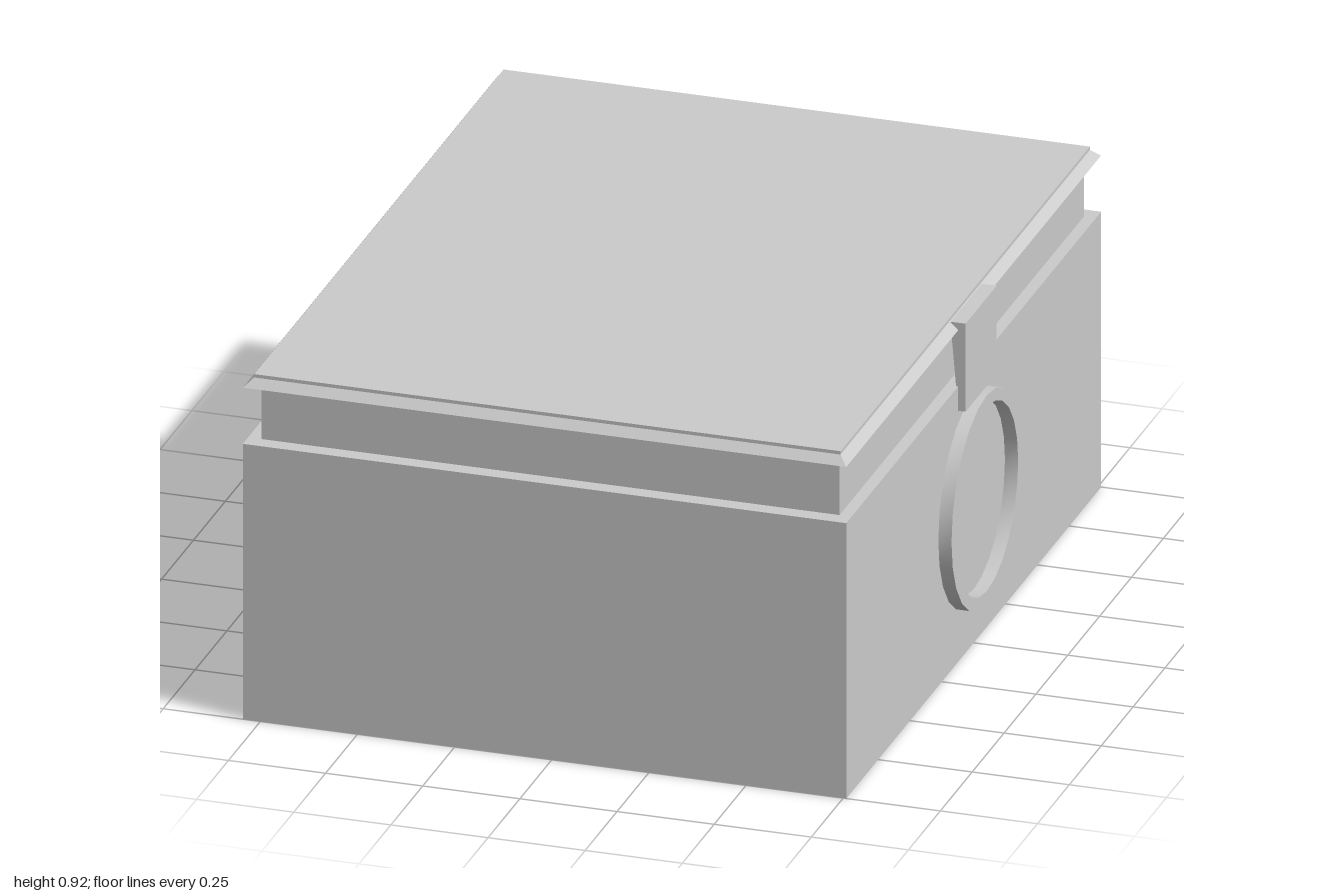
import * as THREE from 'three';
import { toCreasedNormals } from 'three/addons/utils/BufferGeometryUtils.js';

export function createModel() {
  const model = new THREE.Group();
  const material = new THREE.MeshStandardMaterial({ color: 0xcccccc });

  const add = (name, geometry) => {
    const mesh = new THREE.Mesh(geometry, material);
    mesh.name = name;
    model.add(mesh);
  };

  // Box between two x, y and z limits; "shape" may move its corners (top flag, position)
  const block = (x0, x1, y0, y1, halfZ, shape) => {
    const g = new THREE.BoxGeometry(x1 - x0, y1 - y0, 2 * halfZ);
    g.translate((x0 + x1) / 2, (y0 + y1) / 2, 0);
    if (shape) {
      const p = g.attributes.position;
      const v = new THREE.Vector3();
      for (let i = 0; i < p.count; i++) {
        v.fromBufferAttribute(p, i);
        shape(v, v.y > (y0 + y1) / 2);
        p.setXYZ(i, v.x, v.y, v.z);
      }
      g.computeVertexNormals();
    }
    return g;
  };

  const left = -0.795, right = 0.758;

  // Container and the recessed band under the lid
  add('body', block(left, right, 0, 0.735, 1));
  add('neck', block(left + 0.034, right - 0.031, 0.735, 0.887, 0.958));

  // Lid: sloping rim and a thin flat plate on top
  const inset = 0.022;
  add('lidRim', block(left, right, 0.885, 0.906, 1, (v, top) => {
    if (!top) return;
    v.x -= Math.sign(v.x) * inset;
    v.z -= Math.sign(v.z) * inset;
  }));
  add('lidPlate', block(left + inset, right - inset, 0.906, 0.915, 1 - inset));

  // Latch: wedge hanging from the lid, its inner face leaning towards the lid
  add('latch', block(right, 0.777, 0.67, 0.905, 0.122, (v, top) => {
    if (top && v.x < 0.765) v.x = 0.738;
  }));

  // Pull ring lying against the side
  const depth = 0.034, outer = 0.278, inner = 0.245;
  const profile = [[outer, 0], [outer, depth], [inner, depth], [inner, 0], [outer, 0]]
    .map(([r, y]) => new THREE.Vector2(r, y));
  const ring = toCreasedNormals(new THREE.LatheGeometry(profile, 24), 0.6);
  ring.rotateZ(-Math.PI / 2).translate(right, 0.388, 0);
  add('pullRing', ring);

  return model;
}
